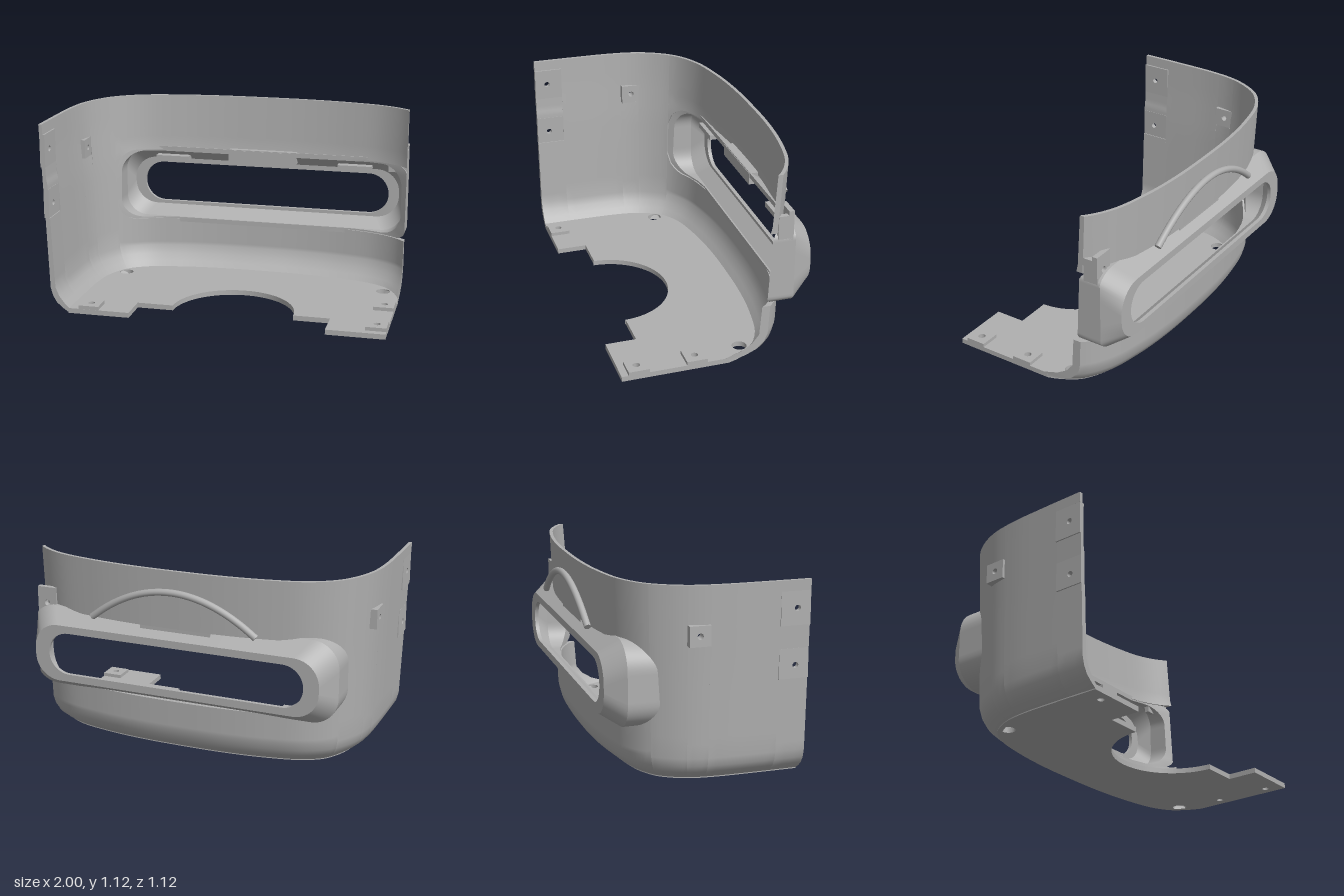
import * as THREE from 'three';

const CX = 0.085, V3 = (x, y, z) => new THREE.Vector3(x, y, z);
const lerp = THREE.MathUtils.lerp;

// Piecewise linear lookup in a short list of [input, output] pairs
function ramp(table, v) {
  for (let i = 1; i < table.length; i++) {
    const [a, p] = table[i - 1], [b, q] = table[i];
    if (v <= b) return lerp(p, q, Math.max(0, (v - a) / (b - a)));
  }
  return table[table.length - 1][1];
}
function solve(f, lo, hi) { // f rises from below 0 to above 0
  for (let i = 0; i < 26; i++) {
    const m = (lo + hi) / 2;
    if (f(m) > 0) hi = m; else lo = m;
  }
  return (lo + hi) / 2;
}

// Plan outline of the shell at its rim, mirrored about CX
const half = [[-1, 0.56], [-0.998, 0.3], [-0.99, 0.06], [-0.965, -0.1], [-0.91, -0.23], [-0.83, -0.335],
  [-0.68, -0.425], [-0.45, -0.48], [-0.2, -0.508]];
const plan = new THREE.CatmullRomCurve3([
  ...half.map(([x, z]) => V3(x, 0, z)), V3(CX, 0, -0.515),
  ...half.slice().reverse().map(([x, z]) => V3(2 * CX - x, 0, z)),
]);
plan.arcLengthDivisions = 600;

const inset = y => ramp([[0, 0.15], [0.03, 0.107], [0.06, 0.073], [0.1, 0.05], [0.15, 0.037], [0.6, 0.021], [1.12, 0]], y);
const thick = y => ramp([[0, 0.02], [0.03, 0.04], [0.06, 0.045], [0.15, 0.03], [0.77, 0.027], [0.8, 0.022], [1.12, 0.02]], y);

function raw(u, y, off) {
  const p = plan.getPointAt(u), t = plan.getTangentAt(u), d = inset(y) + off;
  return V3(p.x - t.z * d, y, p.z + t.x * d);
}
const cache = new Map();
function uEnd(y, off) { // where the shell is cut off at x = 1
  const key = y.toFixed(4) + '/' + off.toFixed(4);
  if (!cache.has(key)) cache.set(key, solve(u => raw(u, y, off).x - 1, 0.5, 0.9));
  return cache.get(key);
}
const U = uEnd(1.12, 0), MID = 0.6;
function wallPoint(u, y, off) {
  const v = u < MID ? u : MID + (u - MID) * (uEnd(y, off) - MID) / (U - MID);
  return raw(v, y, off);
}
const uAtZ = z => solve(u => z - plan.getPointAt(u).z, 0, 0.45);
const uAtX = (x, y) => solve(u => raw(u, y, 0).x - x, 0.1, 0.9);

// Surface through a grid of points
function sheet(rows, flip = false) {
  const n = rows[0].length, idx = [];
  for (let i = 0; i + 1 < rows.length; i++) for (let j = 0; j + 1 < n; j++) {
    const a = i * n + j, b = a + 1, c = a + n, d = c + 1;
    if (flip) idx.push(a, c, b, b, c, d); else idx.push(a, b, c, b, d, c);
  }
  const g = new THREE.BufferGeometry().setFromPoints(rows.flat());
  g.setIndex(idx);
  g.computeVertexNormals();
  return g;
}

function roundRect(x0, x1, y0, y1, r) { // counter-clockwise loop, subdivided edges
  const pts = [], corners = [[x1 - r, y0 + r, -90], [x1 - r, y1 - r, 0], [x0 + r, y1 - r, 90], [x0 + r, y0 + r, 180]];
  corners.forEach(([cx, cy, a0], k) => {
    for (let i = 0; i <= 12; i++) {
      const a = (a0 + i * 7.5) * Math.PI / 180;
      pts.push([cx + r * Math.cos(a), cy + r * Math.sin(a)]);
    }
    const [nx, ny, na] = corners[(k + 1) % 4], e = na * Math.PI / 180, last = pts[pts.length - 1];
    const to = [nx + r * Math.cos(e), ny + r * Math.sin(e)];
    for (let i = 1; i < 16; i++) pts.push([lerp(last[0], to[0], i / 16), lerp(last[1], to[1], i / 16)]);
  });
  pts.push(pts[0]);
  return pts;
}

// Flat plate in xy with a round hole, centred, thickness along z
function plateGeometry(w, h, d, hx = 0, hy = 0, r = 0.017) {
  const s = new THREE.Shape([[-w, -h], [w, -h], [w, h], [-w, h]].map(([x, y]) => new THREE.Vector2(x / 2, y / 2)));
  s.holes.push(new THREE.Path().absarc(hx, hy, r, 0, Math.PI * 2, true));
  return new THREE.ExtrudeGeometry(s, { depth: d, bevelEnabled: false, curveSegments: 12 }).translate(0, 0, -d / 2);
}

export function createModel() {
  const model = new THREE.Group();
  const grey = new THREE.MeshStandardMaterial({ color: 0xb0b0b0, side: THREE.DoubleSide });
  grey.name = 'shell grey';
  const add = (name, geometry, parent = model) => {
    const m = new THREE.Mesh(geometry, grey);
    m.name = name;
    parent.add(m);
    return m;
  };
  const group = name => {
    const g = new THREE.Group();
    g.name = name;
    model.add(g);
    return g;
  };

  // Curved wall, built as slabs that leave gaps for the pads and the window
  const wall = group('wall');
  function slab(u0, u1, cols, lo, hi) {
    const outer = [], inner = [];
    for (let i = 0; i <= cols; i++) {
      const u = lerp(u0, u1, i / cols), a = lo(u), b = hi(u);
      const ys = a === 0 ? [0, 0.03, 0.06, 0.1] : [];
      const start = a === 0 ? 0.15 : a;
      for (let k = 0; k <= 8; k++) ys.push(lerp(start, b, k / 8));
      outer.push(ys.map(y => wallPoint(u, y, 0)));
      inner.push(ys.map(y => wallPoint(u, y, thick(y))));
    }
    add('wallOutside', sheet(outer, true), wall);
    add('wallInside', sheet(inner), wall);
    const n = outer[0].length - 1;
    for (const k of [0, n]) add('wallEdge', sheet([outer.map(c => c[k]), inner.map(c => c[k])], k === 0), wall);
    for (const k of [0, cols]) add('wallEnd', sheet([outer[k], inner[k]], k > 0), wall);
  }
  const level = y => () => y;
  const uPad = uAtZ(0.39), uA = uAtZ(0), uB = uAtZ(-0.12), uWin = uAtX(-0.84, 0.55);
  for (const [a, b] of [[0, 0.57], [0.74, 0.87], [1.06, 1.12]]) slab(0, uPad, 3, level(a), level(b));
  slab(uPad, uA, 8, level(0), level(1.12));
  for (const [a, b] of [[0, 0.79], [0.905, 1.12]]) slab(uA, uB, 4, level(a), level(b));
  slab(uB, uWin, 12, level(0), level(1.12));
  const rise = u => { // rounded ends of the window opening
    const x = wallPoint(u, 0.55, 0).x, r = 0.12;
    const d = Math.max(0, r - Math.min(x + 0.84, 1.1 - x));
    return r - Math.sqrt(Math.max(0, r * r - d * d));
  };
  slab(uWin, U, 64, level(0), u => 0.325 + rise(u));
  slab(uWin, U, 64, u => 0.775 - rise(u), level(1.12));

  // Floor with semicircular cut-out and screw holes
  const outline = [];
  const uFloor = uEnd(0.02, 0.02);
  for (let i = 0; i <= 80; i++) {
    const p = raw(uFloor * i / 80, 0.02, 0.02);
    outline.push(new THREE.Vector2(p.x, -p.z));
  }
  const floor = new THREE.Shape(outline);
  for (const [x, z] of [[1, 0.56], [0.66, 0.56], [0.66, 0.38], [0.445, 0.38]]) floor.lineTo(x, -z);
  floor.absarc(CX, -0.385, 0.36, 0, Math.PI, false);
  for (const [x, z] of [[-0.275, 0.38], [-0.49, 0.38], [-0.49, 0.56]]) floor.lineTo(x, -z);
  const floorPads = [[-0.735, 0.5], [0.94, 0.125], [0.94, 0.46]];
  const holes = [[-0.73, -0.155, 0.042], [0.897, -0.155, 0.042], ...floorPads.map(p => [...p, 0.02])];
  for (const [x, z, r] of holes) floor.holes.push(new THREE.Path().absarc(x, -z, r, 0, Math.PI * 2, true));
  add('floor', new THREE.ExtrudeGeometry(floor, { depth: 0.03, bevelEnabled: false, curveSegments: 32 }).rotateX(-Math.PI / 2));
  for (const [x, z] of floorPads) {
    add('floorPad', plateGeometry(0.12, 0.12, 0.022, 0, 0, 0.02).rotateX(-Math.PI / 2)).position.set(x, 0.04, z);
  }

  // Drilled pads set in the side wall
  const sidePad = (w, h, d, x, y, z, hx, hy, turn = 0) => {
    const m = add('sidePad', plateGeometry(w, h, d, hx, hy).rotateY(Math.PI / 2));
    m.position.set(x, y, z);
    m.rotation.y = turn;
  };
  sidePad(0.17, 0.19, 0.03, -0.982, 0.965, 0.475, -0.01, 0);
  sidePad(0.17, 0.17, 0.03, -0.97, 0.655, 0.475, -0.01, -0.01);
  sidePad(0.12, 0.115, 0.06, -0.958, 0.848, -0.06, 0, 0);

  // Window frame: rings lofted from the wall out to the face and back into the cavity
  const frame = group('windowFrame');
  const wallZ = (x, y) => raw(uAtX(x, y), y, 0).z;
  const ring = (rect, z) => roundRect(...rect).map(([px, py]) => {
    const x = Math.min(px, 1);
    return V3(x, py, z === undefined ? Math.max(wallZ(x, py) + 0.02, -0.42) : z);
  });
  const base = [-0.87, 1.04, 0.305, 0.795, 0.16], cavity = [-0.8, 0.97, 0.335, 0.765, 0.13];
  const face = [-0.79, 0.96, 0.37, 0.715, 0.15], hole = [-0.7, 0.87, 0.415, 0.67, 0.125];
  const tray = [-0.765, 0.935, 0.395, 0.7, 0.14];
  const rings = [ring(base), ring(base, -0.425), ring(face, -0.535), ring(hole, -0.535),
    ring(hole, -0.512), ring(tray, -0.512), ring(cavity, -0.43), ring(cavity), ring(base)];
  const names = ['frameSide', 'frameBevel', 'frameFace', 'windowEdge', 'tray', 'cavitySlope', 'cavitySide', 'frameFlange'];
  names.forEach((name, i) => add(name, sheet([rings[i], rings[i + 1]], true), frame));

  // Clips under the top ledge
  for (const [x, w, y, h] of [[CX, 0.43, 0.755, 0.07], [-0.495, 0.21, 0.72, 0.03], [0.665, 0.21, 0.72, 0.03]]) {
    add('ledgeClip', new THREE.BoxGeometry(w, h, 0.07)).position.set(x, y, -0.452);
  }

  // Drilled tab at the cut end
  add('endTab', plateGeometry(0.12, 0.175, 0.03, 0, -0.008, 0.018)).position.set(0.94, 0.808, -0.395);
  add('endBlock', new THREE.BoxGeometry(0.03, 0.14, 0.06)).position.set(0.985, 0.8, -0.352);

  // Arched brow bar on the back
  const arch = [];
  for (let i = 0; i <= 12; i++) {
    const s = i / 6 - 1;
    arch.push(V3(CX + 0.5 * s, 0.795 + 0.205 * (1 - s * s), -0.535 + 0.014 * s * s));
  }
  const bar = group('browBar');
  add('bar', new THREE.TubeGeometry(new THREE.CatmullRomCurve3(arch), 48, 0.02, 12), bar);
  for (const k of [0, 12]) {
    const cap = add('barEnd', new THREE.CircleGeometry(0.02, 12), bar);
    cap.position.copy(arch[k]);
    cap.lookAt(arch[k].clone().multiplyScalar(2).sub(arch[k ? 11 : 1]));
  }
  return model;
}
